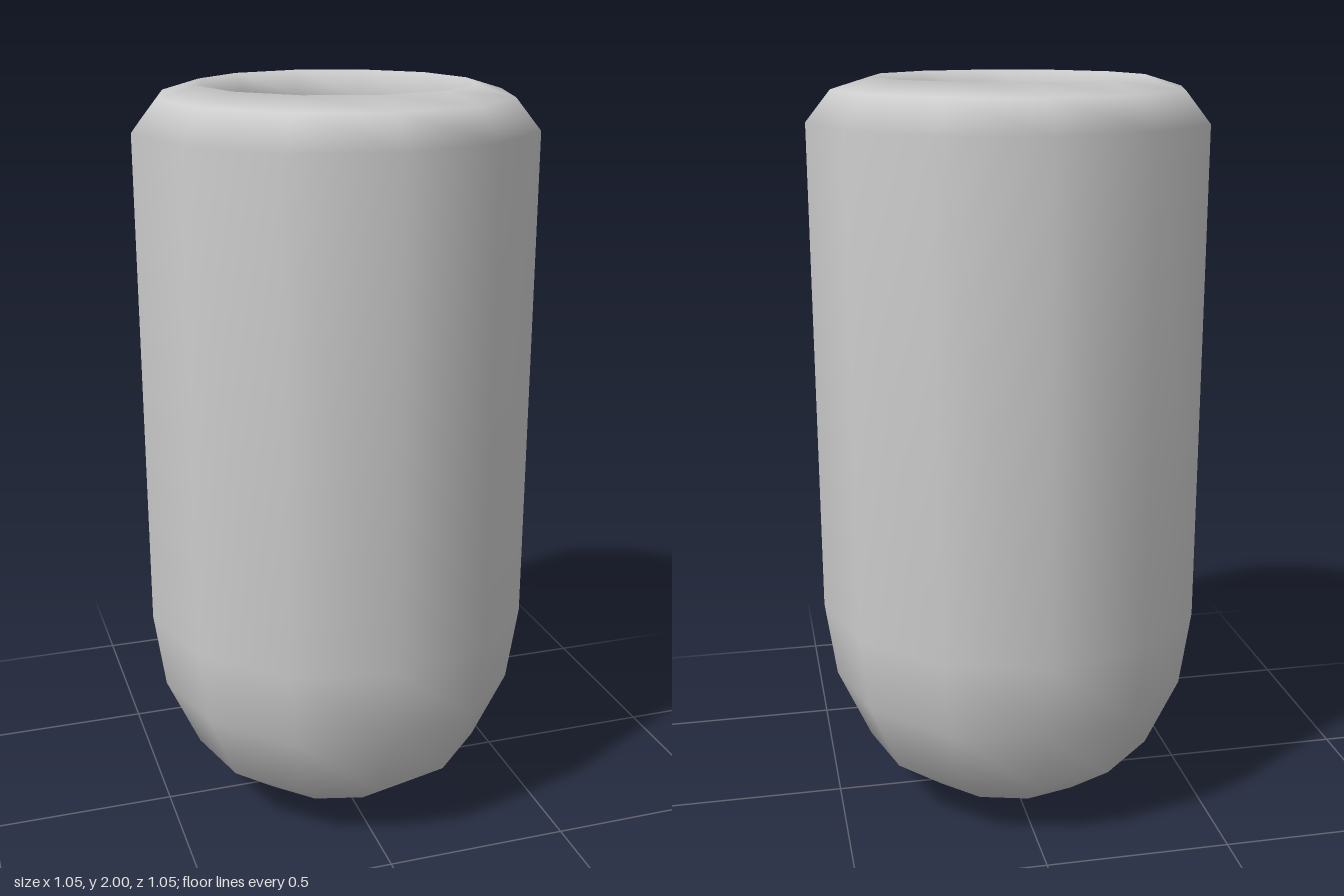
import * as THREE from 'three';

const SIDES = 12;

// Profile as [radius, height], running up the outside, over the lip and down the inside
const profile = [
  // rounded base
  [0, 0], [0.26, 0.06], [0.405, 0.17], [0.495, 0.37], [0.525, 0.58],
  // straight outer wall and rolled lip
  [0.525, 1.89], [0.46, 1.97], [0.36, 2.0], [0.32, 1.93],
  // hollow inside, opening out below the lip
  [0.36, 1.85], [0.41, 1.76], [0.41, 0.6],
  [0.385, 0.42], [0.31, 0.25], [0.19, 0.16], [0, 0.12],
];

export function createModel() {
  const group = new THREE.Group();
  group.name = 'roundBottomedTube';

  const points = profile.map(([r, y]) => new THREE.Vector2(r, y));
  const shell = new THREE.Mesh(
    new THREE.LatheGeometry(points, SIDES),
    new THREE.MeshStandardMaterial({ color: 0xcccccc })
  );
  shell.name = 'hollowShell';
  group.add(shell);

  return group;
}
